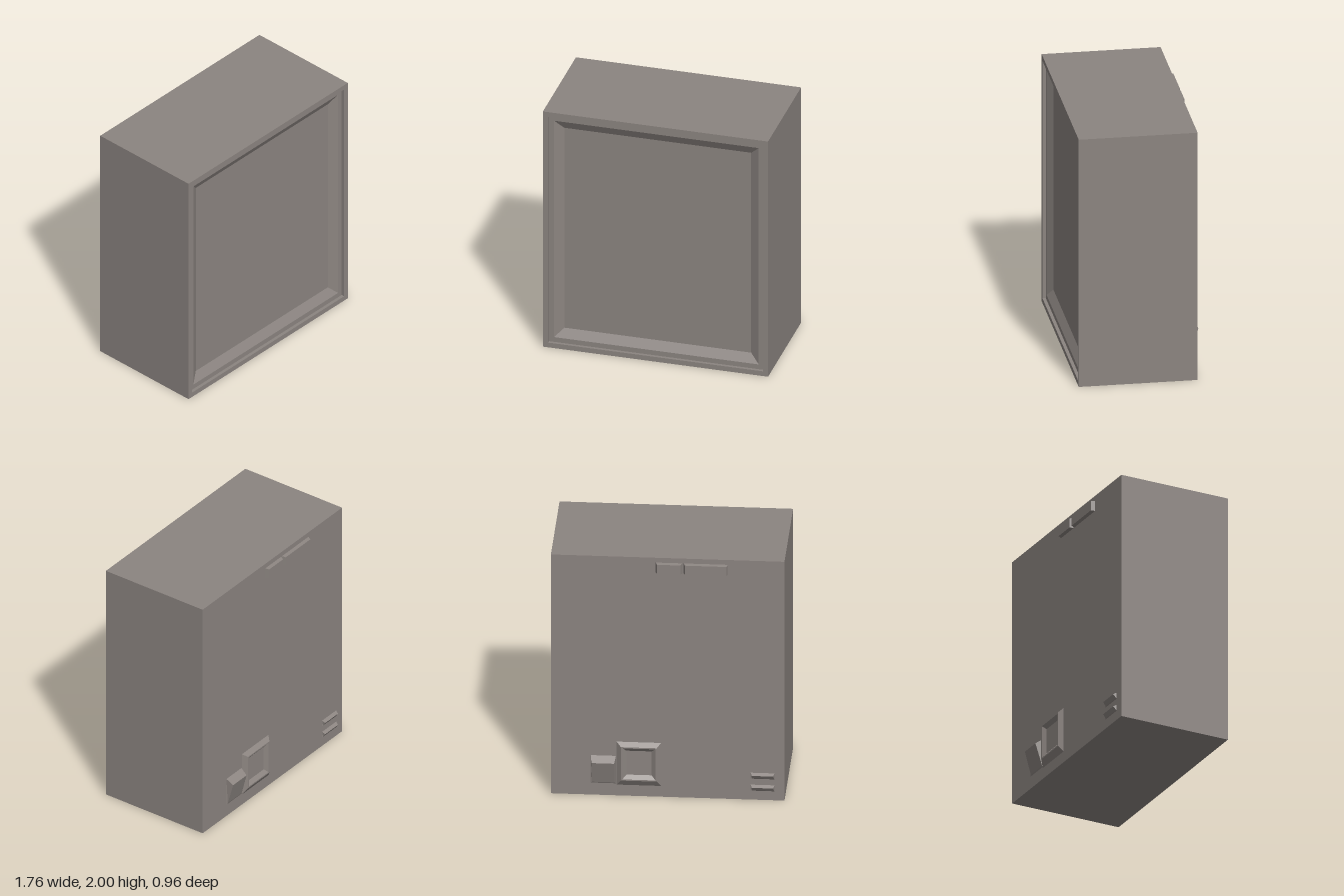
import * as THREE from 'three';

const BACK = -0.425;

// Lofts a solid through rectangles [x0, x1, y0, y1, zBottom, zTop]; dir is +1 towards the front, -1 towards the back
function loft(rings, dir) {
  const loops = rings.map(([x0, x1, y0, y1, zb, zt = zb]) => {
    const c = [[x0, y0, zb], [x1, y0, zb], [x1, y1, zt], [x0, y1, zt]];
    return dir > 0 ? c : c.reverse();
  });
  const pos = [];
  const quad = (a, b, c, d) => pos.push(...a, ...b, ...c, ...a, ...c, ...d);
  const first = loops[0], last = loops[loops.length - 1];
  quad(first[3], first[2], first[1], first[0]);
  for (let r = 0; r < loops.length - 1; r++) {
    for (let i = 0; i < 4; i++) {
      const j = (i + 1) % 4;
      quad(loops[r][i], loops[r][j], loops[r + 1][j], loops[r + 1][i]);
    }
  }
  quad(last[0], last[1], last[2], last[3]);
  const g = new THREE.BufferGeometry();
  g.setAttribute('position', new THREE.Float32BufferAttribute(pos, 3));
  g.computeVertexNormals();
  return g;
}

export function createModel() {
  const group = new THREE.Group();
  const material = new THREE.MeshStandardMaterial({ color: 0x8b8480 });
  material.name = 'warm grey';

  const add = (name, rings, dir) => {
    const mesh = new THREE.Mesh(loft(rings, dir), material);
    mesh.name = name;
    group.add(mesh);
  };

  // Cabinet: rim, shallow step, then a bevelled recess down to the front panel
  const inset = (d, z) => [-0.88 + d, 0.88 - d, d, 2 - d, z];
  add('cabinet', [
    inset(0, BACK), inset(0, 0.48),
    inset(0.04, 0.48), inset(0.04, 0.455),
    inset(0.08, 0.455), inset(0.15, 0.415),
  ], 1);

  // Two bars near the top of the back
  for (const [name, x0, x1] of [['shortBar', -0.11, 0.09], ['longBar', -0.455, -0.12]]) {
    add(name, [
      [x0, x1, 1.875, 1.96, BACK],
      [x0 + 0.012, x1 - 0.012, 1.88, 1.955, -0.453],
    ], -1);
  }

  // Square socket: bevelled outside, sunken centre
  add('socketFrame', [
    [0.05, 0.385, 0.09, 0.45, BACK],
    [0.08, 0.35, 0.14, 0.42, -0.457],
    [0.09, 0.34, 0.15, 0.41, -0.457],
    [0.12, 0.31, 0.18, 0.38, -0.432],
  ], -1);

  // Wedge beside the socket, thick at the top
  add('wedgeBlock', [
    [0.39, 0.58, 0.1, 0.33, BACK],
    [0.4, 0.57, 0.11, 0.29, -0.43, -0.48],
  ], -1);

  // Two small louvres in the lower corner
  for (const y of [0.075, 0.175]) {
    add('louvre', [
      [-0.805, -0.625, y, y + 0.05, BACK],
      [-0.795, -0.635, y + 0.005, y + 0.035, -0.43, -0.45],
    ], -1);
  }

  return group;
}
